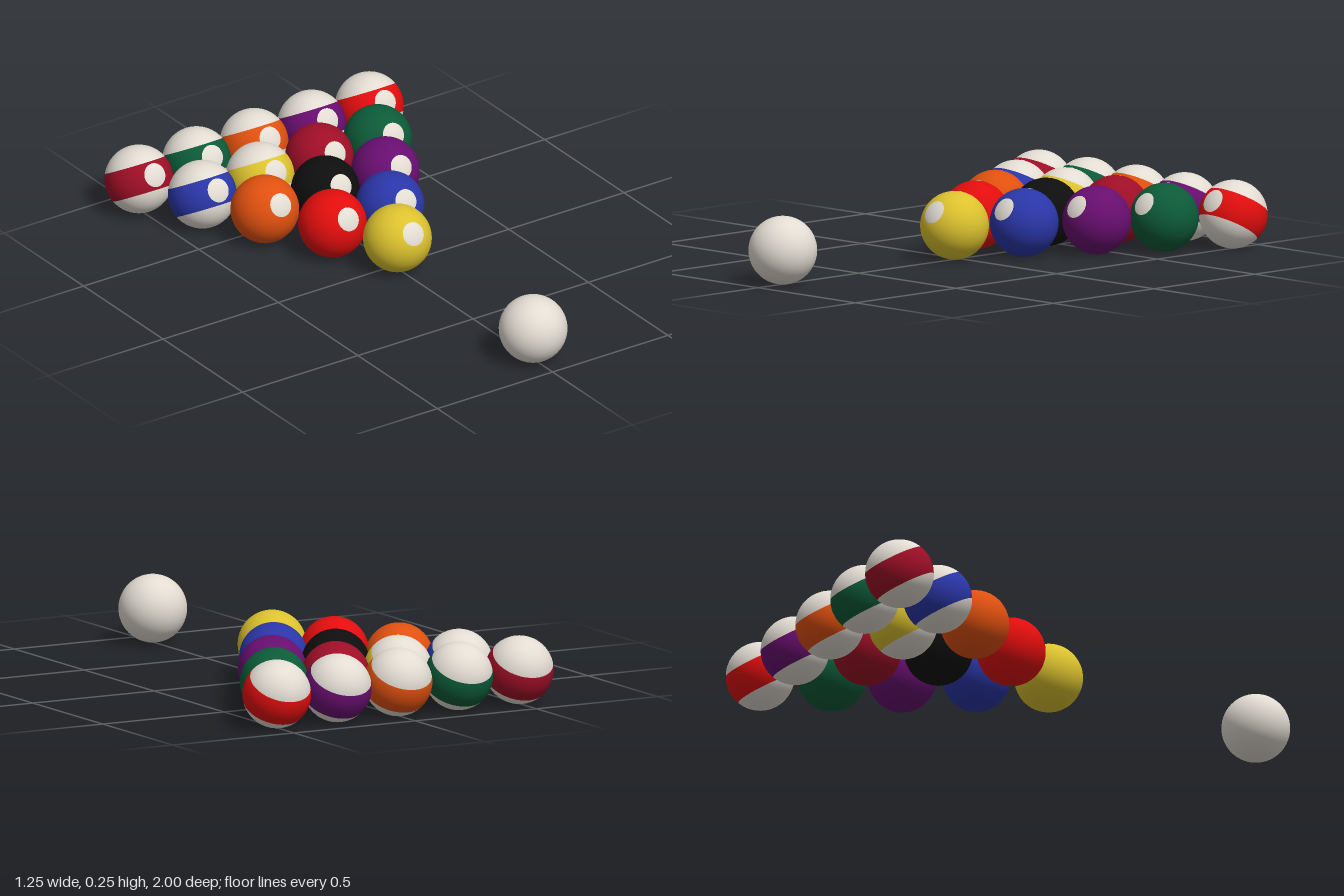
import * as THREE from 'three';

const RADIUS = 0.123;
const DOT = THREE.MathUtils.degToRad(20.5);   // angular radius of the spot
const BAND = THREE.MathUtils.degToRad(25);    // angular half-width of the stripe
const TILT = Math.PI / 6;                     // every ball leans back by this

const colours = {
  white: 0xe2dcd2, yellow: 0xdcc22e, blue: 0x2a36a8, red: 0xe20d0d, purple: 0x680e70,
  orange: 0xe0500f, green: 0x0c5a38, maroon: 0x9e0e26, black: 0x0e0e0e,
};

// Rows from the apex (front) to the base; each row lists balls from -x to +x
const rows = [
  { z: 0.024, balls: [[0, 'yellow']] },
  { z: -0.202, balls: [[-0.126, 'red'], [0.124, 'blue']] },
  { z: -0.43, balls: [[-0.262, 'orange'], [0, 'black'], [0.261, 'purple']] },
  { z: -0.651, balls: [[-0.381, 'blue', true], [-0.13, 'yellow', true], [0.127, 'maroon'], [0.38, 'green']] },
  { z: -0.877, balls: [[-0.5, 'maroon', true], [-0.25, 'green', true], [0, 'orange', true],
    [0.25, 'purple', true], [0.5, 'red', true]] },
];

export function createModel() {
  const model = new THREE.Group();
  const mats = {};
  for (const [name, hex] of Object.entries(colours)) {
    mats[name] = new THREE.MeshStandardMaterial({ color: hex });
    mats[name].name = name;
  }

  // Part of a sphere between two polar angles, its pole tipped about x
  function zone(name, material, from, to, tip, radius = RADIUS) {
    const rings = Math.max(4, Math.ceil((to - from) / Math.PI * 32));
    const geometry = new THREE.SphereGeometry(radius, 48, rings, 0, Math.PI * 2, from, to - from);
    geometry.rotateX(tip);
    const mesh = new THREE.Mesh(geometry, material);
    mesh.name = name;
    return mesh;
  }

  function addBall(name, x, z, ...parts) {
    const ball = new THREE.Group();
    ball.name = name;
    ball.add(...parts);
    ball.position.set(x, RADIUS, z);
    model.add(ball);
  }

  const dotTip = Math.PI / 2 - TILT;
  const mid = Math.PI / 2;

  for (const { z, balls } of rows) {
    for (const [x, colour, striped] of balls) {
      if (striped) {
        // White caps, coloured stripe, and a thin spot laid on the stripe
        addBall(colour + 'StripedBall', x, z,
          zone('upperCap', mats.white, 0, mid - BAND, -TILT),
          zone('stripe', mats[colour], mid - BAND, mid + BAND, -TILT),
          zone('lowerCap', mats.white, mid + BAND, Math.PI, -TILT),
          zone('spot', mats.white, 0, DOT, dotTip, RADIUS * 1.004));
      } else {
        // Coloured body with a white spot cut into it
        addBall(colour + 'SolidBall', x, z,
          zone('spot', mats.white, 0, DOT, dotTip),
          zone('body', mats[colour], DOT, Math.PI, dotTip));
      }
    }
  }

  // Plain white ball in front of the rack
  addBall('cueBall', 0, 0.877, zone('body', mats.white, 0, Math.PI, 0));
  return model;
}
